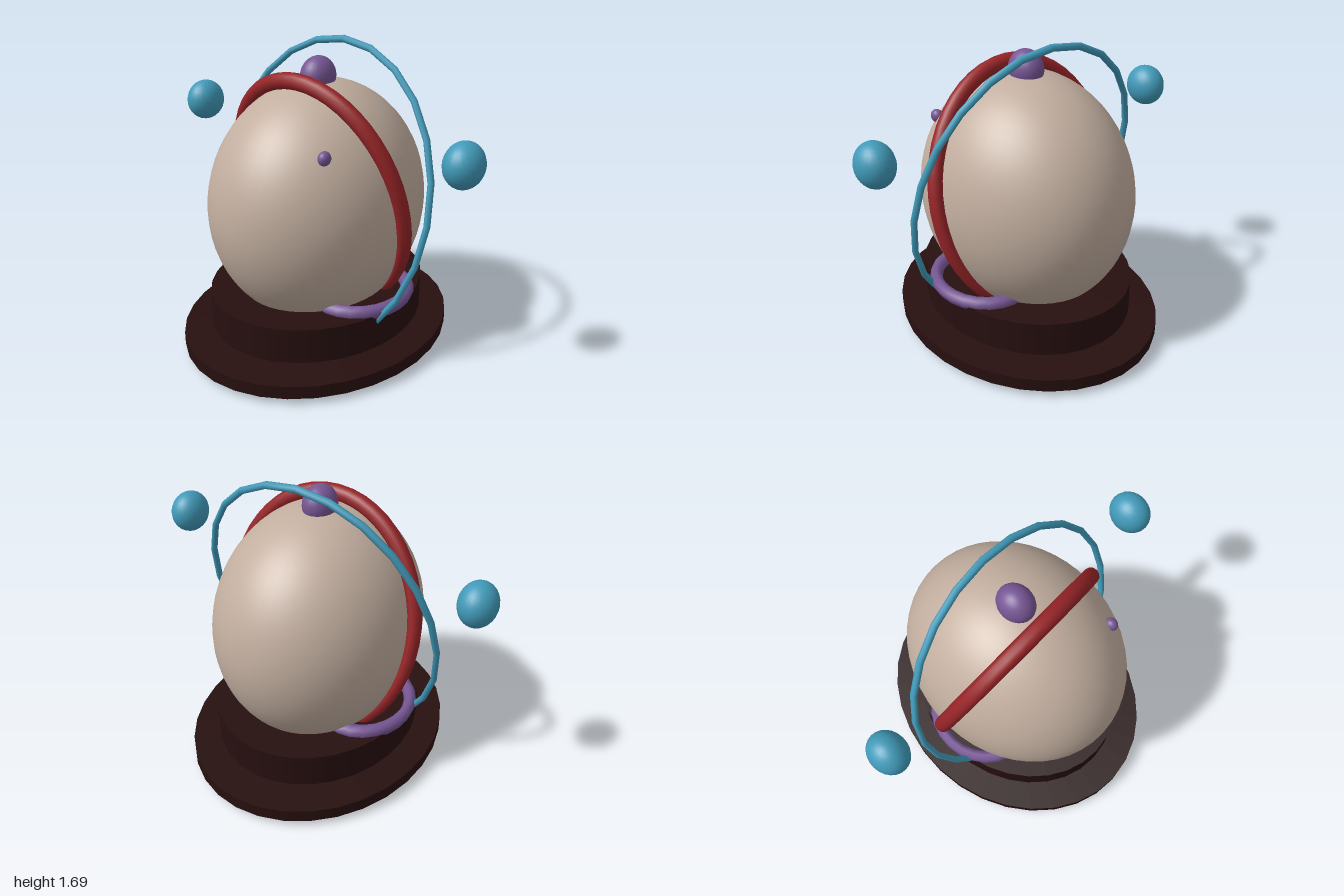
import * as THREE from 'three';

const SQUASH = 0.843; // every part is narrower in x than in z

const material = (name, color) => {
  const m = new THREE.MeshStandardMaterial({ color });
  m.name = name;
  return m;
};

export function createModel() {
  const model = new THREE.Group();
  model.name = 'ringedGlobe';

  const beige = material('beige', 0xc2ae9f);
  const red = material('red', 0x962427);
  const teal = material('teal', 0x419ab9);
  const purple = material('purple', 0x765694);
  const brown = material('darkBrown', 0x270f0f);

  const add = (name, geometry, mat, x, y, z) => {
    const mesh = new THREE.Mesh(geometry.scale(SQUASH, 1, 1), mat);
    mesh.name = name;
    mesh.position.set(x, y, z);
    model.add(mesh);
    return mesh;
  };
  const ball = (r) => new THREE.SphereGeometry(r, 24, 16);
  const disc = (r, h) => new THREE.CylinderGeometry(r, r, h, 32);

  // Stand: a wide plate with a drum floating just above it
  add('basePlate', disc(0.83, 0.072), brown, 0, 0.073, 0);
  add('baseDrum', disc(0.66, 0.195), brown, 0, 0.24, 0);

  // Globe, slightly taller than deep
  add('globe', new THREE.SphereGeometry(0.655, 48, 32).scale(1, 1.033, 1), beige, 0, 0.811, 0);
  add('topKnob', ball(0.105), purple, 0, 1.505, 0);
  add('surfaceDot', ball(0.037), purple, 0.34, 1.215, 0.35);

  // Two rings leaning opposite ways
  add('redRing', new THREE.TorusGeometry(0.68, 0.045, 12, 48).rotateX(0.25), red, 0, 0.843, 0);
  add('tealRing', new THREE.TorusGeometry(0.85, 0.02, 8, 24).rotateZ(Math.PI / 2).rotateX(-0.25), teal, 0, 0.8436, 0);

  // Floating moons and the flat loops on the drum, mirrored
  for (const side of [1, -1]) {
    const label = side > 0 ? 'left' : 'right';
    add(label + 'Moon', ball(0.118), teal, side * 0.9, 1.218, 0);
    add(label + 'BaseLoop', new THREE.TorusGeometry(0.28, 0.04, 8, 24).rotateX(Math.PI / 2), purple, side * 0.32, 0.35, 0);
  }
  return model;
}
